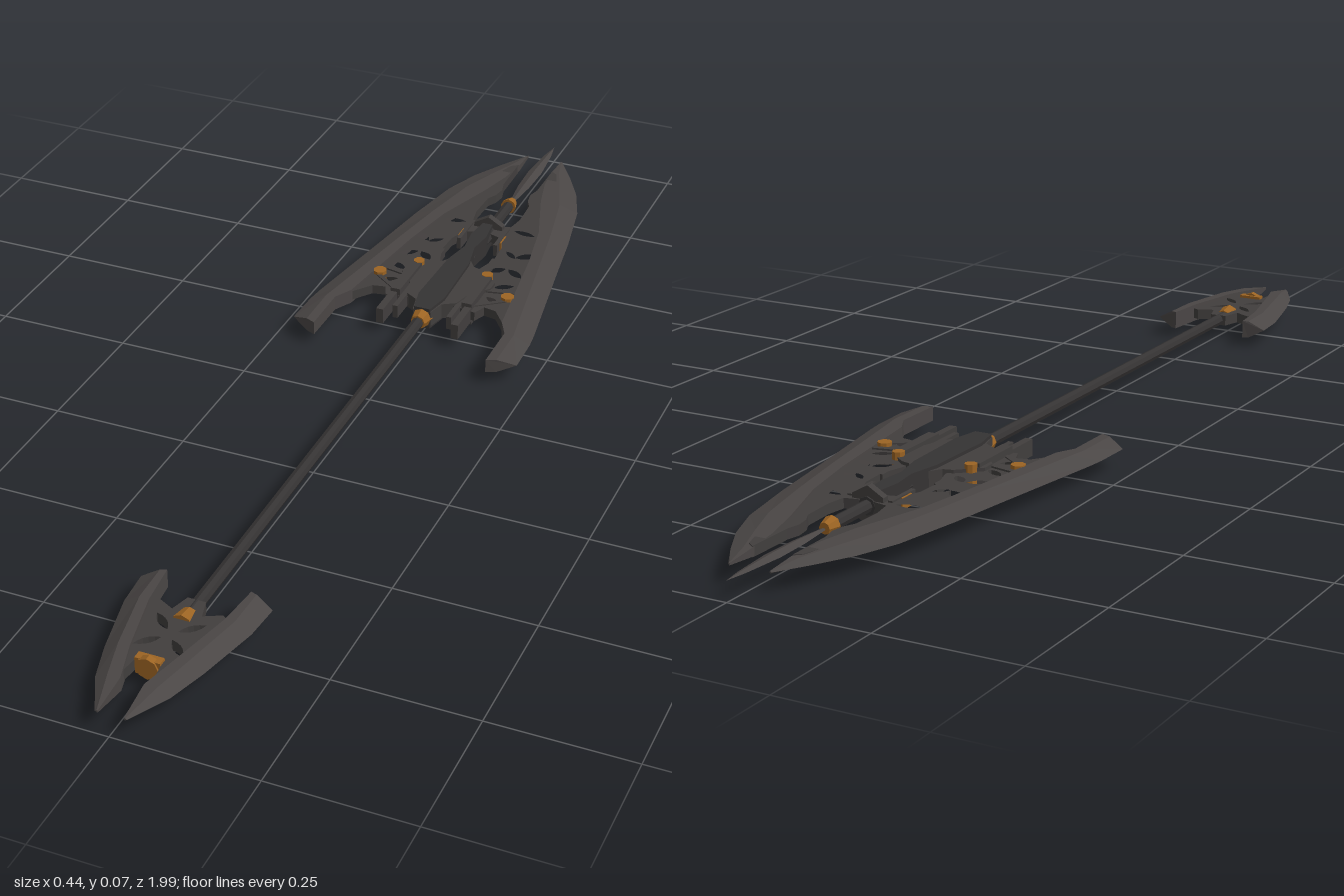
import * as THREE from 'three';

const mat = (name, color) => {
  const m = new THREE.MeshStandardMaterial({ color, flatShading: true });
  m.name = name;
  return m;
};

export function createModel() {
  const blade = mat('blade steel', 0x4a4645);
  const body = mat('dark iron', 0x413e3d);
  const shaftMat = mat('shaft black', 0x353333);
  const bronze = mat('bronze', 0x9c6423);

  const root = new THREE.Group();
  root.name = 'doubleEndedSpear';
  root.position.y = 0.035;

  const add = (name, geo, material) => {
    const m = new THREE.Mesh(geo, material);
    m.name = name;
    root.add(m);
    return m;
  };

  // Copy reflected in x, with the triangle winding restored
  const mirror = (geo) => {
    const g = geo.index ? geo.toNonIndexed() : geo.clone();
    const p = g.attributes.position;
    for (let i = 0; i < p.count; i += 3) {
      const t = [0, 2, 1].map((k) => [-p.getX(i + k), p.getY(i + k), p.getZ(i + k)]);
      t.forEach((v, k) => p.setXYZ(i + k, ...v));
    }
    g.computeVertexNormals();
    return g;
  };
  const pair = (name, geo, material) => {
    add(name + 'Left', geo, material);
    add(name + 'Right', mirror(geo), material);
  };

  // Flat plate from an outline in (x, z), centred in y
  const plate = (points, h, holes = []) => {
    const s = new THREE.Shape(points.map(([x, z]) => new THREE.Vector2(x, z)));
    s.holes.push(...holes);
    return new THREE.ExtrudeGeometry(s, { depth: 2 * h, bevelEnabled: false, curveSegments: 5 })
      .rotateX(Math.PI / 2).translate(0, h, 0);
  };
  const symmetric = (pts) => [...pts, ...pts.slice().reverse().map(([x, z]) => [-x, z])];

  // Leaf-shaped slot
  const petal = (x, z, len, wid, a) => {
    const c = Math.cos(a) * len / 2, s = Math.sin(a) * len / 2;
    const nx = -Math.sin(a) * wid, nz = Math.cos(a) * wid;
    const p = new THREE.Path();
    p.moveTo(x - c, z - s);
    p.quadraticCurveTo(x + nx, z + nz, x + c, z + s);
    p.quadraticCurveTo(x - nx, z - nz, x - c, z - s);
    return p;
  };

  // Sharpened rim: rows of [z, inner x, ridge x, edge x, half thickness, z shift of edge]
  const rim = (rows) => {
    const pos = [], idx = [];
    rows.forEach(([z, a, r, e, h, dz = 0]) => pos.push(
      a, h, z, r, h, z + dz / 3, e, 0, z + dz, r, -h, z + dz / 3, a, -h, z));
    for (let k = 0; k < rows.length - 1; k++) {
      for (let i = 0; i < 5; i++) {
        const j = (i + 1) % 5, a = k * 5, b = a + 5;
        idx.push(a + i, b + i, b + j, a + i, b + j, a + j);
      }
    }
    const n = (rows.length - 1) * 5;
    for (let i = 1; i < 4; i++) idx.push(0, i, i + 1, n, n + i + 1, n + i);
    const g = new THREE.BufferGeometry();
    g.setAttribute('position', new THREE.Float32BufferAttribute(pos, 3));
    g.setIndex(idx);
    g.computeVertexNormals();
    return g;
  };

  const box = (w, h, d, x, y, z) => new THREE.BoxGeometry(w, h, d).translate(x, y, z);
  // Collar along the shaft
  const collar = (r1, r2, len, z, sides = 8) =>
    new THREE.CylinderGeometry(r1, r2, len, sides).rotateX(Math.PI / 2).translate(0, 0, z);
  // Upright rivet through a plate
  const rivet = (r, h, x, z) => new THREE.CylinderGeometry(r, r, 2 * h, 8).translate(x, 0, z);
  // Bar between two points in (x, z)
  const bar = (x1, z1, x2, z2, w, h) => {
    const len = Math.hypot(x2 - x1, z2 - z1);
    return new THREE.BoxGeometry(w, h, len).rotateY(Math.atan2(x2 - x1, z2 - z1))
      .translate((x1 + x2) / 2, 0, (z1 + z2) / 2);
  };

  // Shaft
  add('shaft', collar(0.011, 0.011, 1.46, 0), shaftMat);

  // Centre spike: flat leaf with a raised spine
  const spike = new THREE.LatheGeometry([[0, -1], [0.007, -0.96], [0.014, -0.88], [0.012, -0.81], [0.005, -0.745], [0, -0.74]]
    .map(([r, z]) => new THREE.Vector2(r, z)), 4).rotateX(Math.PI / 2).scale(1, 0.4, 1);
  add('centreSpike', spike, blade);

  // Large head blades
  pair('headBlade', rim([
    [-0.94, 0.036, 0.037, 0.039, 0.002],
    [-0.885, 0.036, 0.05, 0.074, 0.007],
    [-0.82, 0.042, 0.074, 0.11, 0.01],
    [-0.745, 0.06, 0.1, 0.138, 0.012],
    [-0.62, 0.1, 0.125, 0.162, 0.013],
    [-0.5, 0.122, 0.145, 0.18, 0.014],
    [-0.27, 0.152, 0.182, 0.216, 0.014],
    [-0.235, 0.17, 0.188, 0.22, 0.014],
    [-0.136, 0.17, 0.188, 0.222, 0.013, -0.024],
  ]), blade);

  // Pierced webs inside the head blades
  const slots = [
    petal(0.074, -0.61, 0.046, 0.015, 0.15),
    petal(0.108, -0.525, 0.044, 0.02, -0.6),
    petal(0.078, -0.52, 0.032, 0.012, 0.7),
    petal(0.074, -0.455, 0.036, 0.018, -0.7),
    petal(0.11, -0.455, 0.04, 0.018, 0.6),
    petal(0.108, -0.4, 0.04, 0.016, -0.5),
    petal(0.105, -0.345, 0.034, 0.014, 0.5),
  ];
  pair('headWeb', plate([
    [0.037, -0.88], [0.036, -0.79], [0.03, -0.765], [0.034, -0.74], [0.044, -0.72], [0.046, -0.66],
    [0.04, -0.625], [0.008, -0.618], [0.008, -0.585], [0.038, -0.575], [0.052, -0.54], [0.054, -0.49],
    [0.04, -0.445], [0.03, -0.3], [0.09, -0.29], [0.1, -0.315], [0.125, -0.31], [0.153, -0.272],
    [0.165, -0.3], [0.135, -0.5], [0.11, -0.65], [0.08, -0.78], [0.05, -0.87],
  ], 0.009, slots), body);

  // Central housing with a raised spine
  add('housing', plate(symmetric([
    [0.018, -0.46], [0.032, -0.44], [0.05, -0.435], [0.09, -0.4], [0.09, -0.375], [0.06, -0.34],
    [0.05, -0.3], [0.026, -0.285], [0.018, -0.25],
  ]), 0.015), body);
  add('housingSpine', plate(symmetric([
    [0.01, -0.6], [0.016, -0.55], [0.01, -0.5], [0.022, -0.44], [0.026, -0.3], [0.016, -0.25],
  ]), 0.021), shaftMat);

  // Prongs, struts and rivets on each side
  pair('prong', box(0.02, 0.044, 0.11, 0.072, 0, -0.35), body);
  pair('prongTail', box(0.014, 0.03, 0.08, 0.075, 0, -0.265), body);
  pair('innerProng', box(0.01, 0.026, 0.07, 0.054, 0, -0.285), body);
  pair('frontPin', box(0.006, 0.018, 0.08, 0.052, 0, -0.455), body);
  pair('upperPin', box(0.008, 0.024, 0.07, 0.038, 0, -0.575), body);
  pair('upperStrut', bar(0.07, -0.37, 0.14, -0.385, 0.01, 0.024), body);
  pair('lowerStrut', bar(0.075, -0.31, 0.135, -0.355, 0.008, 0.022), body);
  pair('innerRivet', rivet(0.011, 0.023, 0.07, -0.412), bronze);
  pair('outerRivet', rivet(0.013, 0.016, 0.13, -0.36), bronze);
  pair('upperClip', box(0.01, 0.02, 0.03, 0.04, 0, -0.57), bronze);

  // Hexagonal guard ring and collars of the head
  add('guardRing', collar(0.034, 0.034, 0.014, -0.61, 6), body);
  add('guardSleeve', collar(0.016, 0.016, 0.06, -0.59), shaftMat);
  add('spikeCollar', collar(0.016, 0.01, 0.022, -0.73), bronze);
  add('neckCollar', collar(0.014, 0.02, 0.026, -0.243), bronze);

  // Small tail blades
  pair('tailBlade', rim([
    [0.656, 0.074, 0.085, 0.116, 0.017, 0.011],
    [0.735, 0.066, 0.083, 0.111, 0.017],
    [0.85, 0.04, 0.06, 0.085, 0.017],
    [0.92, 0.02, 0.042, 0.064, 0.013],
    [0.99, 0.022, 0.024, 0.027, 0.002],
  ]), blade);

  // Pierced tail web with four slots in a cross
  const cross = [];
  for (const sx of [-1, 1]) for (const sz of [-1, 1]) {
    cross.push(petal(sx * 0.026, 0.795 + sz * 0.026, 0.046, 0.015, sx * sz * 0.75));
  }
  add('tailWeb', plate(symmetric([
    [0.016, 0.7], [0.026, 0.735], [0.055, 0.72], [0.072, 0.73], [0.07, 0.77], [0.05, 0.85],
    [0.04, 0.89], [0.026, 0.9], [0.022, 0.87],
  ]), 0.01, cross), body);
  add('tailCollar', collar(0.019, 0.014, 0.03, 0.74), bronze);
  add('tailClasp', box(0.044, 0.03, 0.016, 0, 0, 0.863), bronze);
  add('tailBoss', collar(0.02, 0.02, 0.012, 0.868), bronze);

  const model = new THREE.Group();
  model.name = 'model';
  model.add(root);
  return model;
}
